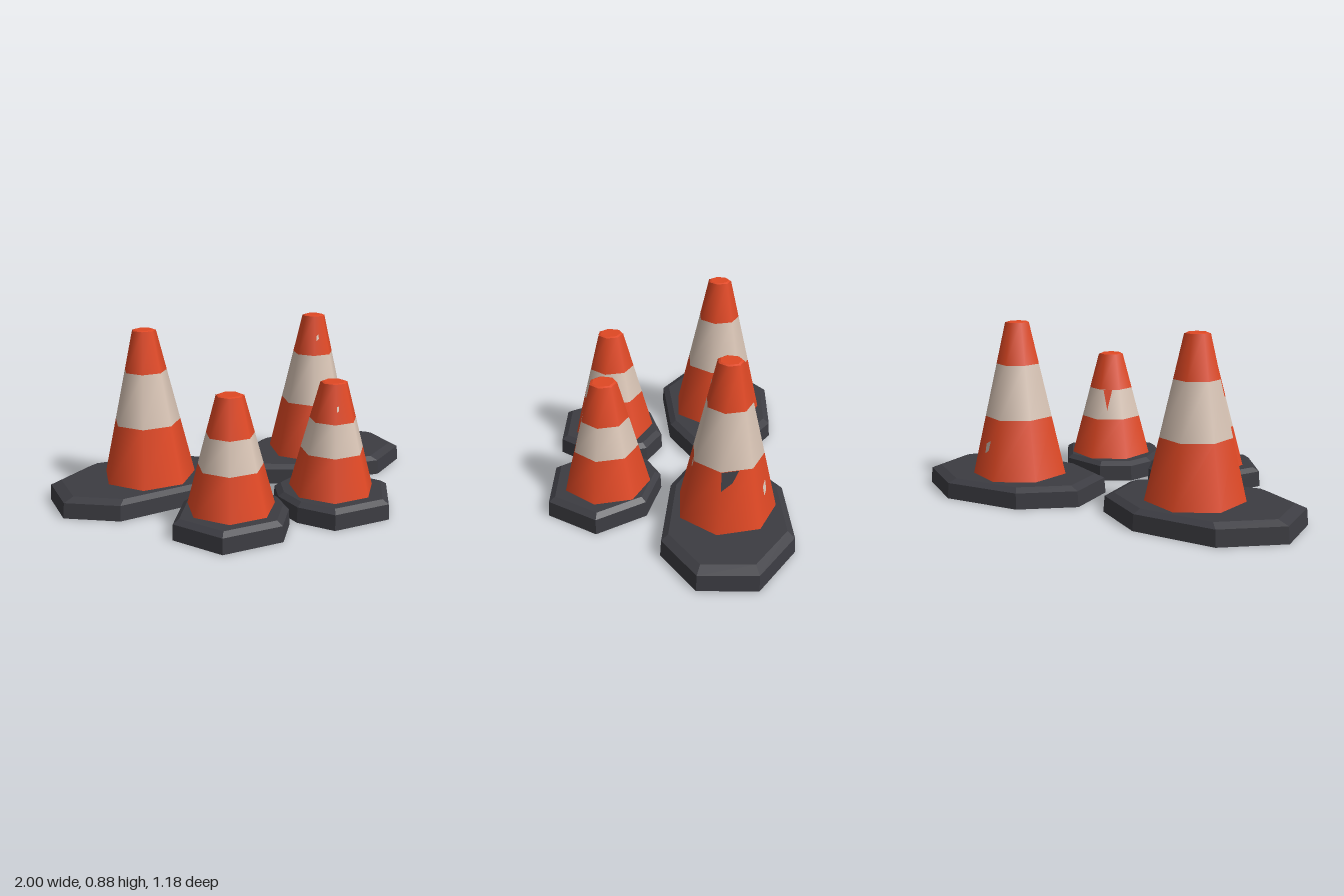
import * as THREE from 'three';

const material = (name, color) => {
  const m = new THREE.MeshStandardMaterial({ color });
  m.name = name;
  return m;
};

const SIDES = 7;
const STEP = (Math.PI * 2) / SIDES;

// Big and small cones: [x, z] base corners for the +x side, counter-clockwise from above
const BIG = {
  x: 0.495, z: -0.285, bottom: 0.245, top: 0.062, height: 0.88, stripe: [0.4, 0.67],
  outline: [[1, -0.13], [1, -0.41], [0.73, -0.6], [0.32, -0.585], [0.07, -0.41], [0.07, -0.14], [0.3, -0.015], [0.755, 0.03]],
};
const SMALL = {
  x: 0.282, z: 0.305, bottom: 0.22, top: 0.068, height: 0.66, stripe: [0.31, 0.47],
  outline: [[0.45, 0.585], [0.6, 0.34], [0.45, 0.1], [0.2, 0.03], [0.05, 0.11], [0, 0.25], [0.02, 0.42], [0.14, 0.585]],
};
const FOOT = 0.1;

export function createModel() {
  const orange = material('orange', 0xe04824);
  const cream = material('cream', 0xd8c4b5);
  const rubber = material('dark rubber', 0x3c3c42);
  const smallUnder = material('rust underside', 0x8a4030);
  const bigUnder = material('brown underside', 0x6b4a40);

  const add = (group, name, geometry, mat) => {
    const mesh = new THREE.Mesh(geometry, mat);
    mesh.name = name;
    group.add(mesh);
    return mesh;
  };

  // Flat-faced skin through scaled copies of an outline; rings are [scale, y]
  const loft = (outline, rings, cx, cz) => {
    const at = (k, j) => {
      const [x, z] = outline[j % outline.length];
      const [s, y] = rings[k];
      return [cx + (x - cx) * s, y, cz + (z - cz) * s];
    };
    const pos = [];
    for (let k = 0; k < rings.length - 1; k++) {
      for (let j = 0; j < outline.length; j++) {
        const a = at(k, j), b = at(k, j + 1), c = at(k + 1, j + 1), d = at(k + 1, j);
        if (rings[k][0] > 0) pos.push(...a, ...b, ...c);
        if (rings[k + 1][0] > 0) pos.push(...a, ...c, ...d);
        else if (rings[k][0] === 0) continue;
      }
    }
    const g = new THREE.BufferGeometry();
    g.setAttribute('position', new THREE.Float32BufferAttribute(pos, 3));
    g.computeVertexNormals();
    return g;
  };

  const radiusAt = (spec, y) =>
    THREE.MathUtils.mapLinear(y, FOOT, spec.height, spec.bottom, spec.top);

  // One cone: hollow foot, three coloured bands and a flat tip
  const makeCone = (spec, side, name, underMat) => {
    const group = new THREE.Group();
    group.name = name;
    let outline = spec.outline.map(([x, z]) => [x * side, z]);
    if (side < 0) outline = outline.reverse();
    const cx = spec.x * side, cz = spec.z;
    add(group, 'foot', loft(outline, [[0.78, 0.03], [0.82, 0], [1, 0], [0.985, 0.08], [0.88, FOOT], [0, FOOT]], cx, cz), rubber);
    add(group, 'footUnderside', loft(outline, [[0, 0.03], [0.78, 0.03]], cx, cz), underMat);

    const [low, high] = spec.stripe;
    const bands = [
      ['lowerBand', FOOT - 0.01, low, orange],
      ['paleBand', low, high, cream],
      ['upperBand', high, spec.height, orange],
    ];
    for (const [part, y0, y1, mat] of bands) {
      const g = new THREE.CylinderGeometry(radiusAt(spec, y1), radiusAt(spec, y0), y1 - y0, SIDES, 1, true, Math.PI);
      g.translate(cx, (y0 + y1) / 2, cz);
      add(group, part, g, mat);
    }
    const tip = new THREE.CylinderGeometry(spec.top * 0.8, spec.top, 0.006, SIDES, 1, false, Math.PI);
    tip.translate(cx, spec.height, cz);
    add(group, 'tip', tip, orange);
    return group;
  };

  // Worn paint patch on a cone wall; corners are [degrees around, y]
  const addPatch = (group, spec, side, name, mat, corners) => {
    const pos = corners.flatMap(([deg, y]) => {
      const phi = THREE.MathUtils.degToRad(deg);
      const turn = THREE.MathUtils.euclideanModulo(phi - Math.PI, STEP) - STEP / 2;
      const r = (radiusAt(spec, y) * Math.cos(STEP / 2)) / Math.cos(turn) + 0.004;
      return [spec.x * side + r * Math.sin(phi), y, spec.z + r * Math.cos(phi)];
    });
    const g = new THREE.BufferGeometry();
    g.setAttribute('position', new THREE.Float32BufferAttribute(pos, 3));
    const index = [];
    for (let i = 1; i < corners.length - 1; i++) index.push(0, i, i + 1);
    g.setIndex(index);
    g.computeVertexNormals();
    add(group, name, g, mat);
  };

  const model = new THREE.Group();
  model.name = 'trafficCones';
  const bigLeft = makeCone(BIG, 1, 'bigConeLeft', bigUnder);
  const bigRight = makeCone(BIG, -1, 'bigConeRight', bigUnder);
  const smallLeft = makeCone(SMALL, 1, 'smallConeLeft', smallUnder);
  const smallRight = makeCone(SMALL, -1, 'smallConeRight', smallUnder);
  model.add(bigLeft, bigRight, smallLeft, smallRight);

  // Scuffs and chips
  addPatch(bigLeft, BIG, 1, 'darkScuff', rubber, [[79, 0.31], [95, 0.345], [106, 0.4], [78, 0.4]]);
  addPatch(bigLeft, BIG, 1, 'upperChip', cream, [[-17, 0.75], [-8, 0.76], [-9, 0.785], [-18, 0.775]]);
  addPatch(bigLeft, BIG, 1, 'lowerChip', cream, [[151, 0.22], [160, 0.24], [162, 0.29], [150, 0.27]]);
  addPatch(bigLeft, BIG, 1, 'paintDrip', cream, [[18, 0.365], [23, 0.37], [25, 0.4], [14, 0.4]]);
  addPatch(smallLeft, SMALL, 1, 'paintNotch', orange, [[200, 0.36], [212, 0.47], [188, 0.47]]);
  addPatch(smallLeft, SMALL, 1, 'smallChip', cream, [[-22, 0.53], [-15, 0.535], [-16, 0.56], [-22, 0.555]]);
  addPatch(smallRight, SMALL, -1, 'paintSpike', cream, [[190, 0.47], [222, 0.47], [204, 0.59]]);
  return model;
}
